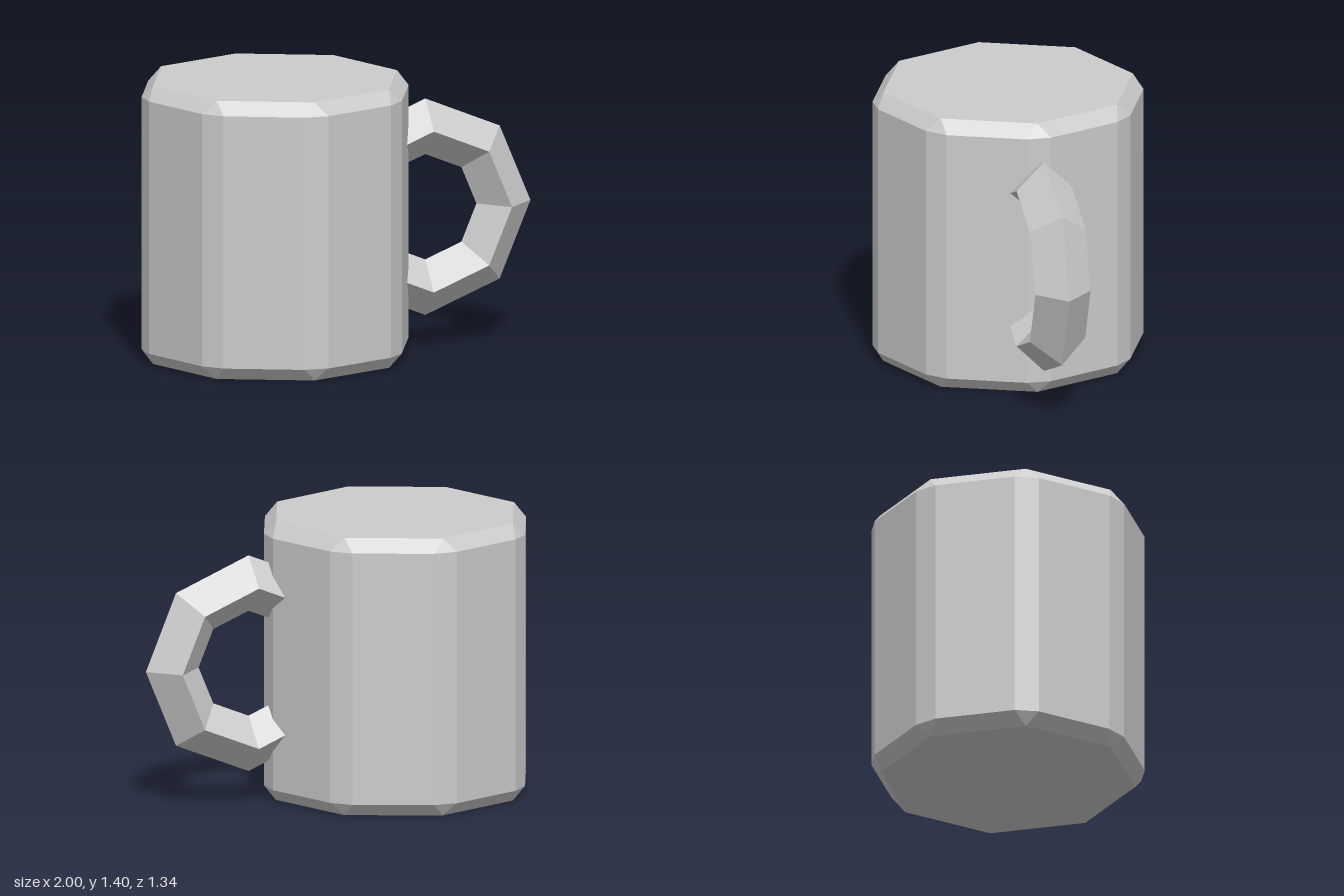
import * as THREE from 'three';

const SIDES = 8;
const BODY_X = -0.325;

// Solid eight-sided cup body whose upright corners and rims are all chamfered
function bodyGeometry() {
  const height = 1.4, chamfer = 0.065, capRadius = 0.632;
  const wallRadius = 0.675, cornerAngle = Math.atan2(0.06, 0.672);
  const positions = [];
  const point = (r, a, y) => [r * Math.cos(a), y, -r * Math.sin(a)];
  const tri = (a, b, c) => positions.push(...a, ...b, ...c);
  const quad = (a, b, c, d) => { tri(a, b, c); tri(a, c, d); };
  const low = chamfer, high = height - chamfer;

  for (let i = 0; i < SIDES; i++) {
    const a = (i / SIDES) * Math.PI * 2;
    const next = a + (Math.PI * 2) / SIDES;
    // the angles where the corner strip starts and ends, and where the next one starts
    const a0 = a - cornerAngle, a1 = a + cornerAngle, a2 = next - cornerAngle;
    const wall = (angle, y) => point(wallRadius, angle, y);
    const cap = (angle, y) => point(capRadius, angle, y);

    // corner strip and flat panel
    quad(wall(a0, low), wall(a1, low), wall(a1, high), wall(a0, high));
    quad(wall(a1, low), wall(a2, low), wall(a2, high), wall(a1, high));
    // upper rim chamfer
    tri(wall(a0, high), wall(a1, high), cap(a, height));
    quad(wall(a1, high), wall(a2, high), cap(next, height), cap(a, height));
    // lower rim chamfer
    tri(wall(a1, low), wall(a0, low), cap(a, 0));
    quad(wall(a2, low), wall(a1, low), cap(a, 0), cap(next, 0));
    // top and bottom faces
    tri([0, height, 0], cap(a, height), cap(next, height));
    tri([0, 0, 0], cap(next, 0), cap(a, 0));
  }

  const geometry = new THREE.BufferGeometry();
  geometry.setAttribute('position', new THREE.Float32BufferAttribute(positions, 3));
  geometry.computeVertexNormals();
  return geometry;
}

export function createModel() {
  const group = new THREE.Group();
  group.name = 'mug';
  const material = new THREE.MeshStandardMaterial({ color: 0xcccccc, flatShading: true });

  const body = new THREE.Mesh(bodyGeometry(), material);
  body.name = 'body';
  body.position.x = BODY_X;
  group.add(body);

  // Faceted ring handle with a diamond section, its two ends sunk into the body
  const handle = new THREE.Mesh(
    new THREE.TorusGeometry(0.405, 0.14, 4, 6, Math.PI * 1.5).rotateZ(-Math.PI * 0.75),
    material
  );
  handle.name = 'handle';
  handle.position.set(0.453, 0.703, 0);
  group.add(handle);

  return group;
}
